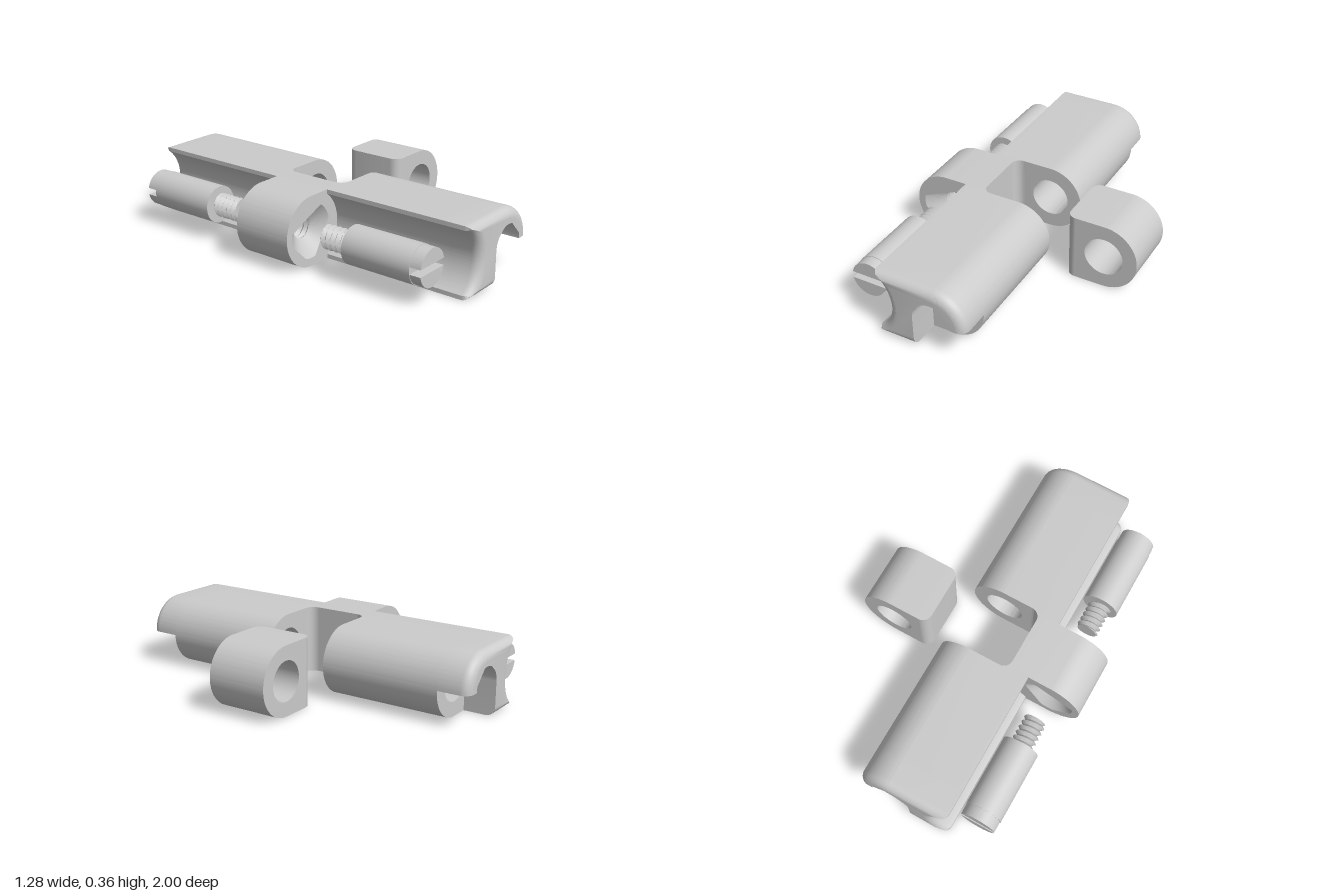
import * as THREE from 'three';
import { toCreasedNormals } from 'three/addons/utils/BufferGeometryUtils.js';

const H = 0.182;          // half height, also the radius of all rounded ends
const SX = -0.463;        // screw axis x
const PX = -0.02;         // pin hole axis x
const PIN = 0.105;        // pin hole radius
const EDGE = 0.05;        // fillet radius
const material = new THREE.MeshStandardMaterial({ color: 0xcccccc });

function mesh(name, geometry) {
  const m = new THREE.Mesh(toCreasedNormals(geometry, 0.6), material);
  m.name = name;
  return m;
}

// Extrude a shape through the given z levels, then adjust every point by a rule
function layered(shape, levels, rule) {
  const steps = levels.length - 1;
  const geo = new THREE.ExtrudeGeometry(shape, { depth: 1, steps, bevelEnabled: false, curveSegments: 32 });
  const pos = geo.attributes.position;
  const p = new THREE.Vector3();
  for (let i = 0; i < pos.count; i++) {
    p.fromBufferAttribute(pos, i);
    p.z = levels[Math.round(p.z * steps)];
    if (rule) rule(p);
    pos.setXYZ(i, p.x, p.y, p.z);
  }
  return geo;
}

// Levels from start to end, closing up over a quarter-round edge
function roundedLevels(start, end) {
  const levels = [start];
  for (let i = 0; i <= 8; i++) levels.push(end - EDGE + EDGE * Math.sin(i / 8 * Math.PI / 2));
  return levels;
}
const mirrorLevels = (levels) => levels.map((z) => -z).reverse();

// Inset of a quarter-round edge that finishes at |z| = end
function inset(z, end) {
  const t = Math.max(0, Math.abs(z) - (end - EDGE));
  return EDGE - Math.sqrt(Math.max(0, EDGE * EDGE - t * t));
}

function pinHole(shape, x) {
  shape.holes.push(new THREE.Path().absarc(x, H, PIN, 0, Math.PI * 2, true));
  return shape;
}

// Hollow side of the bars that clears the screw
function hollowSide(shape) {
  const a = Math.acos(0.6);
  shape.lineTo(-0.34, 2 * H);
  shape.absarc(-0.46, H, 0.2, a, -a, true);
  shape.closePath();
  return shape;
}

// Round the outer rim of a bar end
function roundBarEnd(p) {
  const d = inset(p.z, 1);
  if (d <= 0) return;
  p.y = THREE.MathUtils.clamp(p.y, d, 2 * H - d);
  const dx = p.x - PX, dy = p.y - H, r = Math.hypot(dx, dy);
  if (dx > 0 && r > H - d) {
    p.x = PX + dx * (H - d) / r;
    p.y = H + dy * (H - d) / r;
  }
  const R = 0.2 + d;
  p.x = Math.max(p.x, -0.34 + d, -0.46 + Math.sqrt(Math.max(0, R * R - (p.y - H) ** 2)));
}

const triangleWave = (t) => Math.abs(2 * (t - Math.floor(t)) - 1);
const PITCH = 0.03;

function createBody() {
  const body = new THREE.Group();
  body.name = 'body';

  // Bars, each with a stepped, open outer end
  const full = new THREE.Shape().moveTo(-0.34, 0).lineTo(PX, 0).absarc(PX, H, H, -Math.PI / 2, Math.PI / 2);
  pinHole(hollowSide(full), PX);
  const open = new THREE.Shape().moveTo(-0.34, 0).lineTo(PX - PIN, 0).lineTo(PX - PIN, H)
    .absarc(PX, H, PIN, Math.PI, 0, true).lineTo(PX + H, H).absarc(PX, H, H, 0, Math.PI / 2);
  hollowSide(open);
  const barLevels = [0.175, 0.83], endLevels = roundedLevels(0.83, 1);
  body.add(mesh('frontBar', layered(full, barLevels)));
  body.add(mesh('rearBar', layered(full, mirrorLevels(barLevels))));
  body.add(mesh('frontBarEnd', layered(open, endLevels, roundBarEnd)));
  body.add(mesh('rearBarEnd', layered(open, mirrorLevels(endLevels), roundBarEnd)));

  // Neck joining the two bars
  const neck = hollowSide(new THREE.Shape().moveTo(-0.34, 0).lineTo(-0.23, 0).lineTo(-0.23, 2 * H));
  body.add(mesh('neck', layered(neck, [-0.175, 0.175])));

  // Fillets in the corners of the notch
  for (const s of [1, -1]) {
    const corner = new THREE.Shape().moveTo(-0.24, 0.125).lineTo(-0.23, 0.125)
      .absarc(-0.18, 0.125, EDGE, Math.PI, Math.PI / 2, true).lineTo(-0.24, 0.175);
    const geo = new THREE.ExtrudeGeometry(corner, { depth: 2 * H, bevelEnabled: false });
    geo.rotateX(s * Math.PI / 2);
    if (s > 0) geo.translate(0, 2 * H, 0);
    body.add(mesh('notchFillet', geo));
  }

  // Ear with a threaded, countersunk hole
  const ear = new THREE.Shape().moveTo(-0.24, 2 * H).lineTo(-0.46, 2 * H)
    .absarc(-0.46, H, H, Math.PI / 2, Math.PI * 1.5).lineTo(-0.24, 0);
  ear.holes.push(new THREE.Path().absarc(SX, H, 0.045, 0, Math.PI * 2, true));
  const earLevels = Array.from({ length: 65 }, (_, i) => -0.163 + 0.326 * i / 64);
  body.add(mesh('ear', layered(ear, earLevels, (p) => {
    const dx = p.x - SX, dy = p.y - H, r = Math.hypot(dx, dy);
    if (r > 0.06) return;
    const thread = 0.048 + 0.016 * triangleWave(p.z / PITCH - Math.atan2(dy, dx) / (2 * Math.PI));
    const R = Math.max(thread, 0.14 - (0.163 - Math.abs(p.z)) * 1.3);
    p.x = SX + dx * R / r;
    p.y = H + dy * R / r;
  })));
  return body;
}

// Slotted screw pointing towards -z, with its head end at z = 0
function createScrew(name) {
  const screw = new THREE.Group();
  screw.name = name;
  const shank = new THREE.CylinderGeometry(0.098, 0.098, 0.385, 40).rotateX(Math.PI / 2);
  shank.translate(0, 0, -0.06 - 0.385 / 2);
  screw.add(mesh('shank', shank));

  // Head halves on both sides of the slot
  const a = Math.asin(0.018 / 0.095);
  for (const s of [0, Math.PI]) {
    const half = new THREE.Shape().absarc(0, 0, 0.095, s + a, s + Math.PI - a);
    const geo = new THREE.ExtrudeGeometry(half, { depth: 0.06, bevelEnabled: false, curveSegments: 24 });
    screw.add(mesh('headHalf', geo.translate(0, 0, -0.06)));
  }

  // Helical thread
  const thread = new THREE.CylinderGeometry(0.05, 0.05, 0.165, 32, 66).rotateX(Math.PI / 2);
  const pos = thread.attributes.position;
  for (let i = 0; i < pos.count; i++) {
    const x = pos.getX(i), y = pos.getY(i), r = Math.hypot(x, y);
    if (r < 0.01) continue;
    const R = 0.043 + 0.02 * triangleWave(pos.getZ(i) / PITCH - Math.atan2(y, x) / (2 * Math.PI));
    pos.setXY(i, x * R / r, y * R / r);
  }
  screw.add(mesh('thread', thread.translate(0, 0, -0.603 + 0.165 / 2)));
  return screw;
}

// Separate knuckle with a pin hole and a rounded flat side
function createKnuckle() {
  const shape = new THREE.Shape().moveTo(0.25, 0).lineTo(0.46, 0)
    .absarc(0.46, H, H, -Math.PI / 2, Math.PI / 2).lineTo(0.25, 2 * H);
  pinHole(shape, 0.46);
  const half = roundedLevels(0, 0.165);
  const levels = [...mirrorLevels(half), ...half.slice(1)];
  return mesh('knuckle', layered(shape, levels, (p) => {
    p.x = Math.max(p.x, 0.25 + inset(p.z, 0.165));
  }));
}

export function createModel() {
  const model = new THREE.Group();
  model.name = 'hingeParts';
  model.add(createBody(), createKnuckle());

  const frontScrew = createScrew('frontScrew');
  frontScrew.position.set(SX, H, 0.87);
  const rearScrew = createScrew('rearScrew');
  rearScrew.position.set(SX, H, -0.897);
  rearScrew.rotation.y = Math.PI;
  model.add(frontScrew, rearScrew);
  return model;
}
